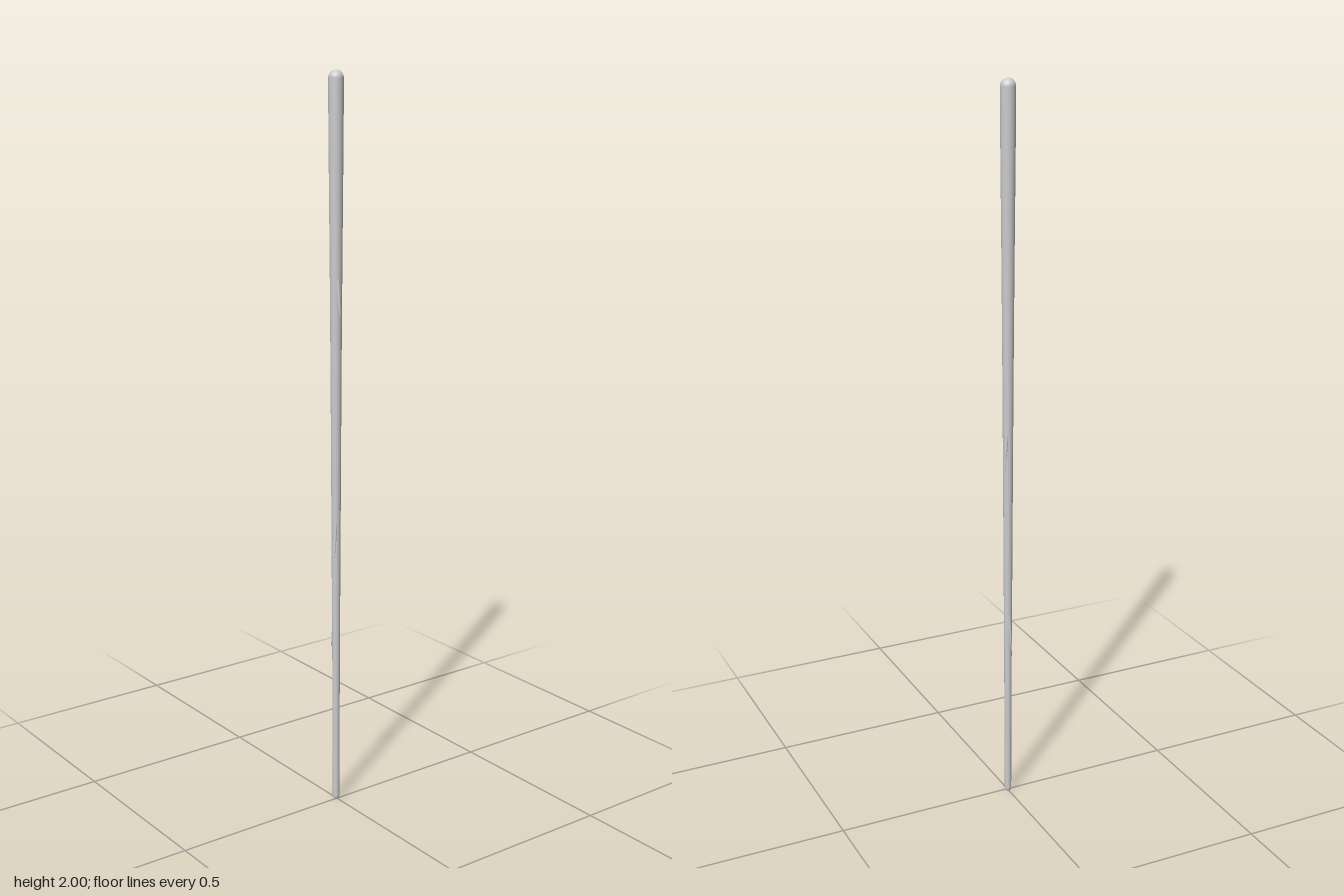
import * as THREE from 'three';

const AXIS_X = -0.004;
const material = new THREE.MeshStandardMaterial({ color: 0xcccccc, side: THREE.DoubleSide });

// Tapered shaft with a domed top and a slightly rounded foot
function createShaft() {
  const points = [[0, 0], [0.006, 0], [0.0085, 0.003], [0.0095, 0.01], [0.0105, 0.4],
    [0.0125, 0.8], [0.0145, 1.2], [0.0165, 1.5], [0.0195, 1.85], [0.02, 1.98]]
    .map(([r, y]) => new THREE.Vector2(r, y));
  for (let i = 1; i <= 8; i++) {
    const a = (i / 8) * Math.PI / 2;
    points.push(new THREE.Vector2(0.02 * Math.cos(a), 1.98 + 0.02 * Math.sin(a)));
  }
  const shaft = new THREE.Mesh(new THREE.LatheGeometry(points, 24), material);
  shaft.name = 'shaft';
  return shaft;
}

// Thin spur that leaves the shaft and curves down and outward to a point
function createSpur(topY, tipY, angle, reach, rootOut) {
  const rings = 8, sides = 12;
  const geometry = new THREE.CylinderGeometry(0.0085, 0.0008, 1, sides, rings);
  const p = geometry.attributes.position;
  for (let i = 0; i < p.count; i++) {
    const t = 0.5 - p.getY(i);
    const out = rootOut + (reach - rootOut) * Math.pow(t, 1.3);
    p.setXYZ(i, p.getX(i) + out, topY + (tipY - topY) * t, p.getZ(i));
  }
  geometry.computeVertexNormals();
  const spur = new THREE.Mesh(geometry, material);
  spur.rotation.y = -angle;
  spur.name = 'spur';
  return spur;
}

export function createModel() {
  const stick = new THREE.Group();
  stick.name = 'stick';
  stick.position.x = AXIS_X;
  stick.add(createShaft());

  // Top height, tip height, compass angle from +x towards +z, reach, root offset
  const spurs = [
    [1.52, 1.38, 0.2, 0.026, 0.006],
    [1.13, 0.98, -2.35, 0.025, 0.004],
    [0.86, 0.72, 0.82, 0.023, 0.003],
    [0.61, 0.45, Math.PI - 0.1, 0.02, 0.001],
  ];
  for (const s of spurs) stick.add(createSpur(...s));

  const model = new THREE.Group();
  model.add(stick);
  return model;
}
